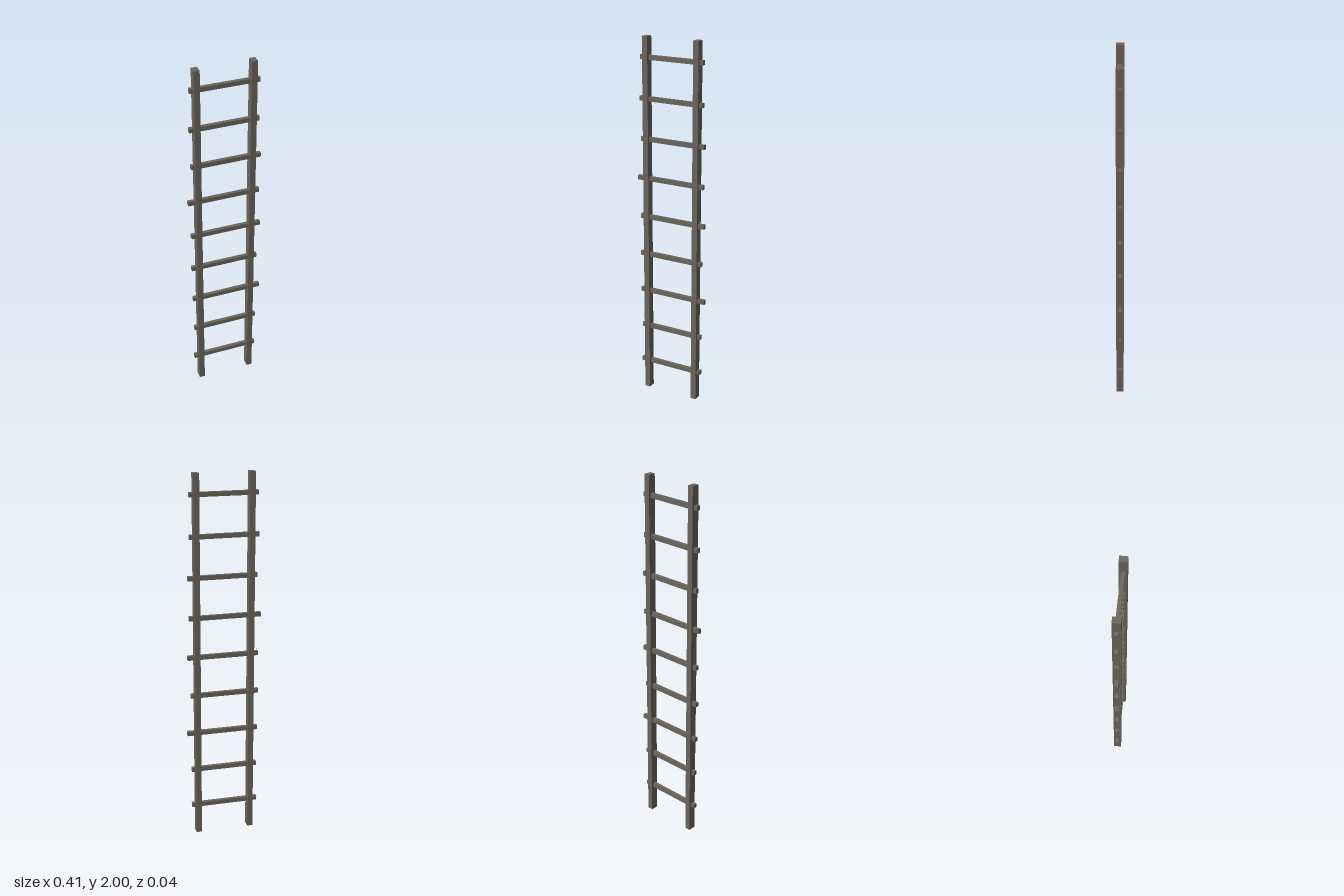
import * as THREE from 'three';

export function createModel() {
  const model = new THREE.Group();
  model.name = 'ladder';
  const wood = new THREE.MeshStandardMaterial({ color: 0x6b655c });
  wood.name = 'weathered wood';

  function beam(name, w, h, d, x, y) {
    const mesh = new THREE.Mesh(new THREE.BoxGeometry(w, h, d), wood);
    mesh.name = name;
    mesh.position.set(x, y, 0);
    model.add(mesh);
  }

  // Upright rails
  beam('leftRail', 0.031, 2, 0.042, 0.146, 1);
  beam('rightRail', 0.031, 2, 0.042, -0.149, 1);

  // Rungs pass through the rails and stick out unevenly: [start x, end x], bottom to top
  const rungs = [
    [-0.189, 0.181], [-0.184, 0.181], [-0.189, 0.202],
    [-0.192, 0.181], [-0.189, 0.197], [-0.203, 0.188],
    [-0.182, 0.192], [-0.189, 0.181], [-0.184, 0.181],
  ];
  rungs.forEach(([a, b], i) => {
    beam(`rung${i + 1}`, b - a, 0.024, 0.02, (a + b) / 2, 0.165 + i * 0.2158);
  });

  return model;
}
